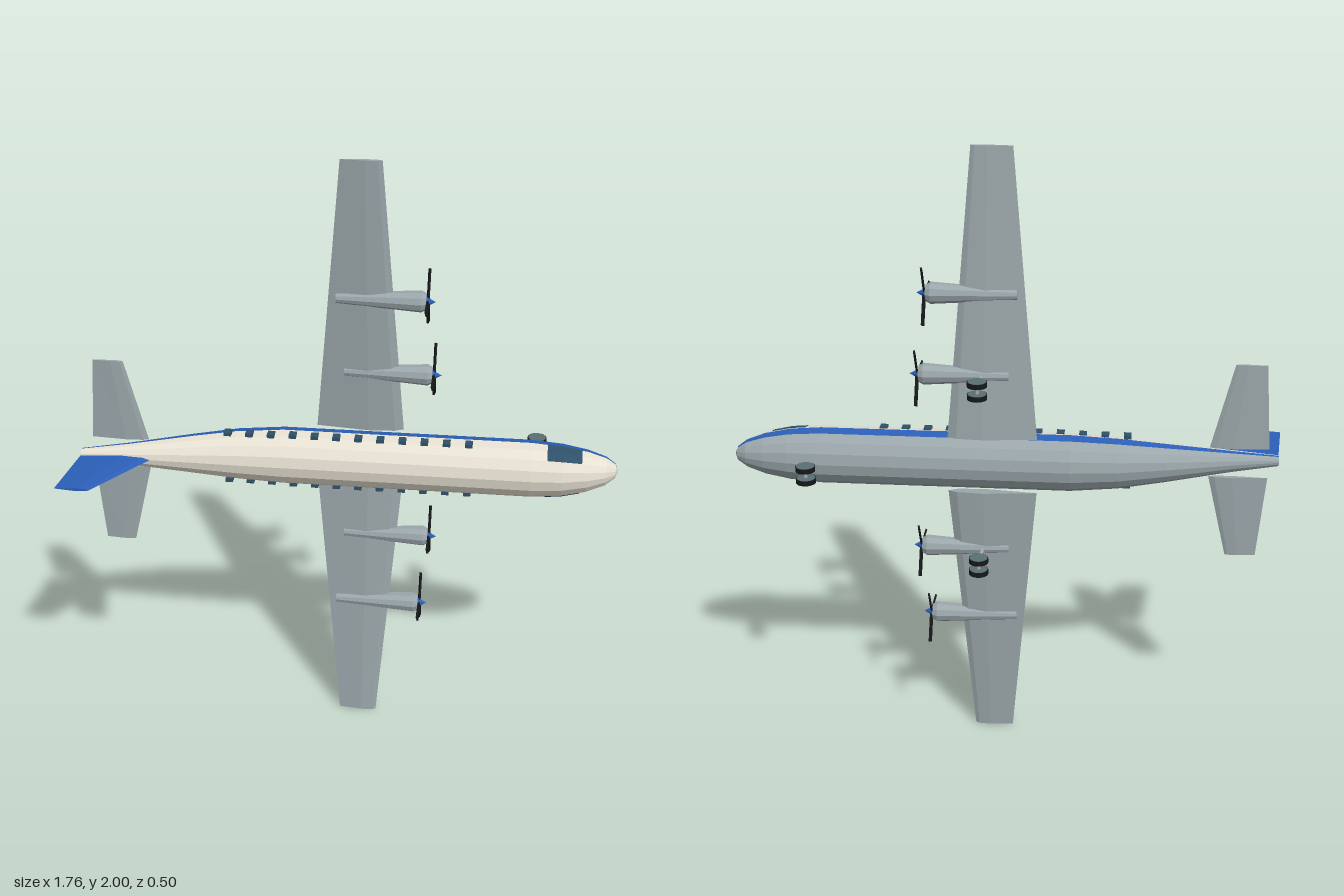
import * as THREE from 'three';

const mat = (color) => new THREE.MeshStandardMaterial({ color, flatShading: true, side: THREE.DoubleSide });
const cream = mat(0xe6e0d2), grey = mat(0x9aa6aa), blue = mat(0x2b5fb8), glass = mat(0x2f5068);
const black = mat(0x16181a), hubGrey = mat(0x5a7074), steel = mat(0xa4adaf);

// Skin a row of matching cross-sections; closed sections also get end caps.
function loft(rings, closed) {
  const pos = [];
  const n = rings[0].length;
  const tri = (a, b, c) => pos.push(...a, ...b, ...c);
  for (let i = 0; i < rings.length - 1; i++) {
    for (let j = 0; j < (closed ? n : n - 1); j++) {
      const k = (j + 1) % n;
      const a = rings[i][j], b = rings[i][k], c = rings[i + 1][k], d = rings[i + 1][j];
      tri(a, b, d);
      tri(b, c, d);
    }
  }
  if (closed) {
    const first = rings[0], last = rings[rings.length - 1];
    for (let j = 1; j < n - 1; j++) {
      tri(first[0], first[j + 1], first[j]);
      tri(last[0], last[j], last[j + 1]);
    }
  }
  const g = new THREE.BufferGeometry();
  g.setAttribute('position', new THREE.Float32BufferAttribute(pos, 3));
  g.computeVertexNormals();
  return g;
}

function add(parent, name, geometry, material, x = 0, y = 0, z = 0) {
  const m = new THREE.Mesh(geometry, material);
  m.name = name;
  m.position.set(x, y, z);
  parent.add(m);
  return m;
}

// Fuselage stations: x, centre z, half width, half height
const stations = [
  [-0.86, 0.008, 0, 0], [-0.859, 0.008, 0.017, 0.018], [-0.7, -0.008, 0.036, 0.038],
  [-0.5, -0.034, 0.063, 0.066], [-0.35, -0.05, 0.082, 0.084], [-0.2, -0.0575, 0.092, 0.0925],
  [0.6, -0.0575, 0.092, 0.0925], [0.7, -0.058, 0.084, 0.086], [0.78, -0.062, 0.068, 0.07],
  [0.84, -0.067, 0.046, 0.047], [0.87, -0.071, 0.024, 0.025], [0.88, -0.073, 0, 0],
];

function stationAt(x) {
  const i = Math.max(1, stations.findIndex((s) => s[0] >= x));
  const a = stations[i - 1], b = stations[i];
  const t = (x - a[0]) / (b[0] - a[0]);
  return a.map((v, k) => v + (b[k] - v) * t);
}

// A lengthwise strip of the 16-sided hull, from side number 'from' to 'to'
function hullStrip(rows, from, to, grow = 0) {
  return loft(rows.map(([x, cz, ry, rz]) => {
    const ring = [];
    for (let j = from; j <= to; j++) {
      const a = (j * Math.PI) / 8;
      ring.push([x, 1 + (ry + grow) * Math.cos(a), cz + (rz + grow) * Math.sin(a)]);
    }
    return ring;
  }), false);
}

// Wing section: fraction of chord from the leading edge, fraction of thickness
const foil = [[1, 0], [0.4, 0.5], [0.1, 0.35], [0, 0], [0.1, -0.35], [0.4, -0.5]];

// Wing panel from rows of: span offset, leading x, trailing x, z, thickness
function wingPanel(rows, side) {
  const rings = rows.map(([span, lead, trail, z, thick]) =>
    foil.map(([c, t]) => [lead + (trail - lead) * c, 1 + side * span, z + thick * t]));
  return loft(side > 0 ? rings : rings.reverse(), true);
}

function engine(parent, x, y, z) {
  const g = new THREE.Group();
  g.name = 'engine';
  g.position.set(x, y, z);
  parent.add(g);
  const alongX = (r1, r0, len, sides) => new THREE.CylinderGeometry(r1, r0, len, sides).rotateZ(-Math.PI / 2);
  add(g, 'nacelle', alongX(0.034, 0.016, 0.265, 10), grey, -0.1525);
  add(g, 'cowlLip', alongX(0.026, 0.034, 0.015, 10), grey, -0.0125);
  add(g, 'spinner', alongX(0, 0.017, 0.032, 10), blue, 0.008);
  // Three blades, the first pointing up (+z)
  for (let i = 0; i < 3; i++) {
    const blade = new THREE.BoxGeometry(0.006, 0.014, 0.1);
    blade.rotateZ(0.3).translate(0, 0, 0.052).rotateX((i * 2 * Math.PI) / 3);
    add(g, 'propellerBlade', blade, black);
  }
}

function landingGear(parent, name, x, y, topZ) {
  const g = new THREE.Group();
  g.name = name;
  g.position.set(x, y, 0);
  parent.add(g);
  const axleZ = -0.222, len = topZ - axleZ;
  add(g, 'strut', new THREE.CylinderGeometry(0.007, 0.007, len, 8).rotateX(Math.PI / 2), steel, 0, 0, axleZ + len / 2);
  add(g, 'axle', new THREE.CylinderGeometry(0.006, 0.006, 0.04, 8), steel, 0, 0, axleZ);
  for (const s of [-1, 1]) {
    add(g, 'tyre', new THREE.CylinderGeometry(0.031, 0.031, 0.016, 16), black, 0, s * 0.02, axleZ);
    add(g, 'wheelHub', new THREE.CylinderGeometry(0.029, 0.029, 0.018, 16), hubGrey, 0, s * 0.02, axleZ);
  }
}

export function createModel() {
  const plane = new THREE.Group();
  plane.name = 'airliner';

  // Hull in coloured strips
  add(plane, 'upperFuselage', hullStrip(stations, 0, 8), cream);
  add(plane, 'belly', hullStrip(stations, 9, 15), grey);
  add(plane, 'leftStripe', hullStrip(stations, 15, 16), blue);
  add(plane, 'rightStripe', hullStrip(stations, 8, 9), blue);

  // Cockpit panes on both sides
  const paneRows = [0.65, 0.7, 0.76].map(stationAt);
  add(plane, 'leftCockpitWindow', hullStrip(paneRows, 0, 2, 0.002), glass);
  add(plane, 'rightCockpitWindow', hullStrip(paneRows, 6, 8, 0.002), glass);

  for (const s of [1, -1]) {
    // Cabin windows
    for (let i = 0; i < 12; i++) {
      const x = -0.378 + i * 0.0708;
      const y = Math.max(0.085, stationAt(x)[2] - 0.004);
      add(plane, 'cabinWindow', new THREE.BoxGeometry(0.024, 0.012, 0.03), glass, x, 1 + s * y, -0.031);
    }
    // Wing and tailplane
    add(plane, 'wing', wingPanel([[0.092, 0.187, -0.095, -0.104, 0.038], [1, 0.112, -0.015, -0.045, 0.016]], s), grey);
    add(plane, 'tailplane', wingPanel([[0.05, -0.638, -0.825, -0.02, 0.018], [0.328, -0.705, -0.803, -0.016, 0.01]], s), grey);
    // Two engines and a main gear leg per side
    engine(plane, 0.28, 1 + s * 0.297, -0.091);
    engine(plane, 0.255, 1 + s * 0.553, -0.072);
    landingGear(plane, 'mainGear', 0.08, 1 + s * 0.297, -0.085);
  }
  landingGear(plane, 'noseGear', 0.62, 1, -0.13);

  // Tail fin, rising towards +z
  const finRows = [[0.01, -0.615, -0.858, 0.02], [0.247, -0.772, -0.884, 0.01]];
  add(plane, 'tailFin', loft(finRows.map(([z, lead, trail, thick]) =>
    foil.map(([c, t]) => [lead + (trail - lead) * c, 1 - thick * t, z])), true), blue);

  return plane;
}
